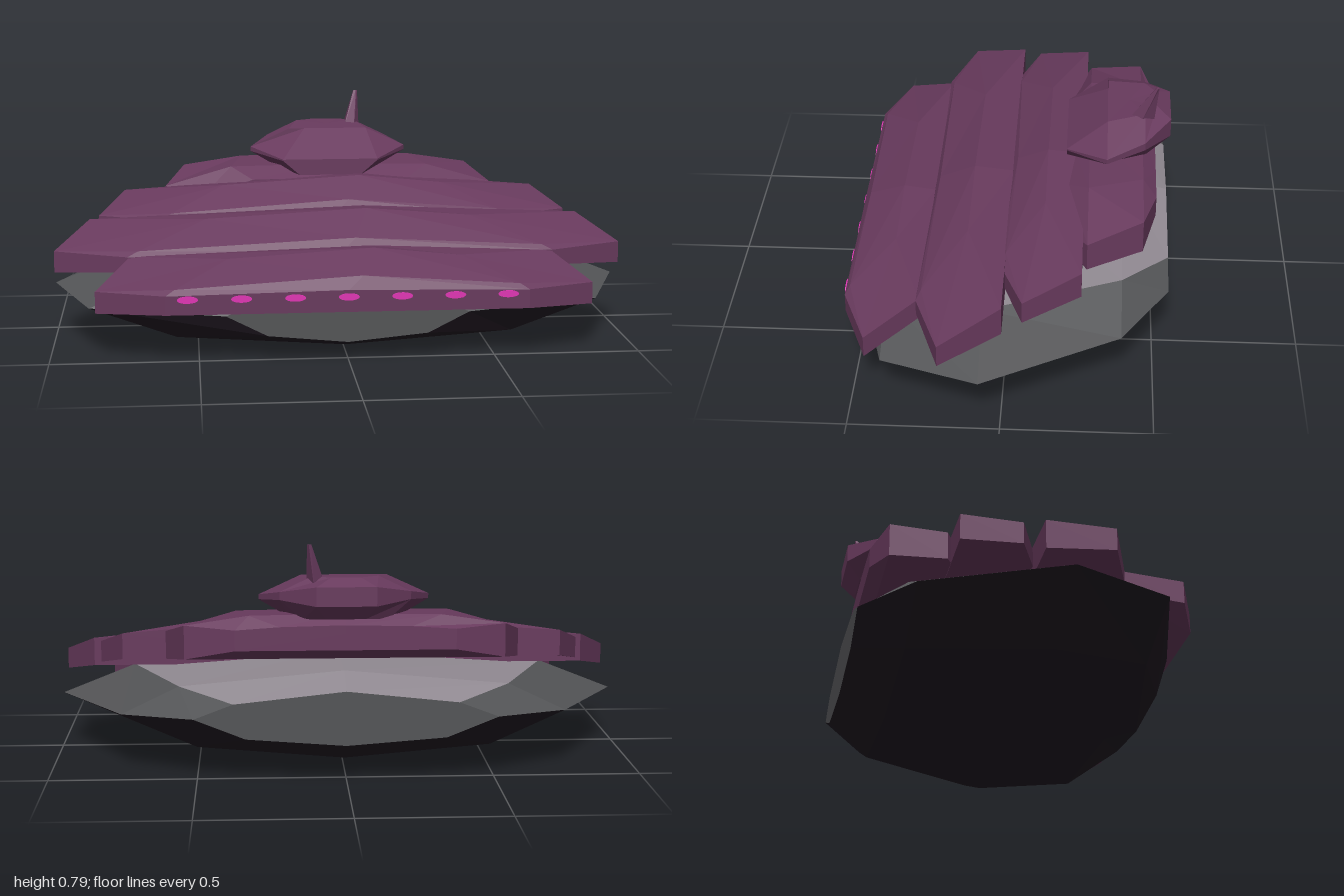
import * as THREE from 'three';

const mat = (name, color, side = THREE.FrontSide) => {
  const m = new THREE.MeshStandardMaterial({ color, flatShading: true, side });
  m.name = name;
  return m;
};
const lerp = THREE.MathUtils.lerp;

// Skins a row of closed rings; cols picks which strips to keep, caps closes the ends.
function loft(rings, { cols = null, caps = [false, false], skin = true } = {}) {
  const pos = [], n = rings[0].length;
  const tri = (...p) => {
    const [a, b, c] = p.map(q => new THREE.Vector3(...q));
    if (b.clone().sub(a).cross(c.clone().sub(a)).length() > 1e-7) p.forEach(q => pos.push(...q));
  };
  if (skin) for (let i = 0; i + 1 < rings.length; i++) for (let j = 0; j < n; j++) {
    if (cols && !cols.includes(j)) continue;
    const k = (j + 1) % n, a = rings[i][j], b = rings[i][k], c = rings[i + 1][k], d = rings[i + 1][j];
    tri(a, b, c);
    tri(a, c, d);
  }
  [rings[0], rings[rings.length - 1]].forEach((r, e) => {
    if (!caps[e]) return;
    const mid = [0, 1, 2].map(k => r.reduce((s, p) => s + p[k], 0) / n);
    for (let j = 0; j < n; j++) {
      const a = r[j], b = r[(j + 1) % n];
      e ? tri(mid, a, b) : tri(mid, b, a);
    }
  });
  const g = new THREE.BufferGeometry();
  g.setAttribute('position', new THREE.Float32BufferAttribute(pos, 3));
  g.computeVertexNormals();
  return g;
}

// Armour slab: corners are [x, z, bottom y, top y]; brow, ridge and crest are centre [z, y].
function armour({ tip, front, rear, brow, ridge, crest, frontTop, apexX = 0.1 }) {
  const end = s => {
    const b = [s * tip[0], tip[2], tip[1]], t = [s * tip[0], tip[3], tip[1]];
    return [b, t, t, t, t, b];
  };
  const shoulder = s => [
    [s * rear[0], rear[2], rear[1]],
    [s * rear[0], rear[3], rear[1]],
    [s * tip[0] * 0.47, ridge[1] - 0.03, ridge[0]],
    [s * front[0] * 0.95, lerp(front[3], brow[1], 0.35), lerp(front[1], brow[0], 0.6)],
    [s * front[0], front[3], front[1]],
    [s * front[0], front[2], front[1]],
  ];
  const centre = [
    [0, rear[2], rear[1]],
    [apexX, crest[1], crest[0]],
    [apexX, ridge[1], ridge[0]],
    [apexX * 0.5, brow[1], brow[0]],
    [0, frontTop, front[1]],
    [0, front[2], front[1]],
  ];
  return loft([end(-1), shoulder(-1), centre, shoulder(1), end(1)]);
}

export function createModel() {
  const model = new THREE.Group();
  model.name = 'hovercraft';
  const plum = mat('plum armour', 0x683a5d);
  const dark = mat('black underside', 0x211922);
  const grey = mat('dark grey hull', 0x535456);
  const light = mat('light grey deck', 0x918a92);
  const pink = mat('pink lights', 0xe035b4);
  const add = (name, geo, material, parent = model) => {
    const m = new THREE.Mesh(geo, material);
    m.name = name;
    parent.add(m);
    return m;
  };

  // Hull sections: z, half width, keel y, edge y, shoulder y, deck y
  const hullRings = [
    [-0.55, 0.51, 0.12, 0.215, 0.265, 0.305],
    [-0.39, 0.76, 0.04, 0.2, 0.295, 0.345],
    [0.07, 1.0, 0, 0.182, 0.285, 0.335],
    [0.4, 0.87, 0.02, 0.165, 0.245, 0.285],
    [0.52, 0.41, 0.06, 0.157, 0.2, 0.22],
  ].map(([z, w, keel, edge, up, top]) => {
    const low = lerp(keel, edge, 0.27);
    return [[0, keel, z], [0.66 * w, low, z], [w, edge, z], [0.74 * w, up, z],
      [0, top, z], [-0.74 * w, up, z], [-w, edge, z], [-0.66 * w, low, z]];
  });
  const hull = new THREE.Group();
  hull.name = 'hull';
  model.add(hull);
  add('underside', loft(hullRings, { cols: [0, 1, 6, 7] }), dark, hull);
  add('hullSides', loft(hullRings, { cols: [2, 5] }), grey, hull);
  add('deck', loft(hullRings, { cols: [3, 4] }), light, hull);
  add('hullEnds', loft(hullRings, { skin: false, caps: [true, true] }), grey, hull);

  // Overlapping armour slabs, stepping up toward the back
  const slabs = {
    frontArmour: {
      tip: [0.845, 0.455, 0.16, 0.235], front: [0.61, 0.545, 0.17, 0.235], rear: [0.73, 0.28, 0.24, 0.315],
      brow: [0.52, 0.288], ridge: [0.39, 0.355], crest: [0.28, 0.34], frontTop: 0.245,
    },
    middleArmour: {
      tip: [0.995, 0.2, 0.247, 0.322], front: [0.74, 0.29, 0.262, 0.315], rear: [0.88, 0.0, 0.295, 0.395],
      brow: [0.265, 0.365], ridge: [0.135, 0.445], crest: [0.0, 0.43], frontTop: 0.32,
    },
    upperArmour: {
      tip: [0.85, -0.065, 0.32, 0.395], front: [0.62, 0.022, 0.335, 0.39], rear: [0.76, -0.255, 0.365, 0.455],
      brow: [-0.015, 0.45], ridge: [-0.125, 0.52], crest: [-0.255, 0.51], frontTop: 0.4,
    },
  };
  for (const [name, spec] of Object.entries(slabs)) add(name, armour(spec), plum);

  // Rear slab with clipped back corners: z, half width, bottom y, side top y, ridge y
  const rearRings = [
    [-0.5, 0.37, 0.435, 0.505, 0.52],
    [-0.455, 0.54, 0.4, 0.515, 0.552],
    [-0.27, 0.61, 0.368, 0.465, 0.54],
    [-0.2, 0.48, 0.37, 0.43, 0.5],
  ].map(([z, w, b, s, t]) => [[-w, b, z], [w, b, z], [w, s, z], [w * 0.6, t - 0.005, z], [0, t, z],
    [-w * 0.6, t - 0.005, z], [-w, s, z]]);
  add('rearArmour', loft(rearRings, { caps: [true, true] }), plum);

  // Eight-sided turret: rim points x, z, y
  const rim = [[0.29, -0.33, 0.598], [0.22, -0.46, 0.625], [0.1, -0.55, 0.635], [-0.1, -0.55, 0.635],
    [-0.22, -0.46, 0.625], [-0.29, -0.33, 0.598], [-0.175, -0.19, 0.568], [0.175, -0.19, 0.568]];
  const turretRings = [
    rim.map(([x, z]) => [x * 0.65, lerp(0.54, 0.512, (z + 0.55) / 0.36), lerp(z, Math.max(z, -0.5), 1)]),
    rim.map(([x, z]) => [x, z < -0.5 ? 0.59 : lerp(0.6, 0.565, (z + 0.46) / 0.27), z]),
    rim.map(([x, z, y]) => [x, y + (z < -0.5 ? 0.02 : 0.002), z]),
    rim.map(([x, z]) => [x * 0.5, z > -0.4 ? 0.667 : 0.68, THREE.MathUtils.clamp(z, -0.5, -0.33)]),
  ];
  add('turret', loft(turretRings, { caps: [true, true] }), plum);

  // Antenna horn swept up and back
  const horn = (x, y, z, rx, rz) => Array.from({ length: 5 }, (_, i) => {
    const a = i * Math.PI * 0.4;
    return [x + rx * Math.cos(a), y, z - rz * Math.sin(a)];
  });
  add('antenna', loft([horn(0.095, 0.645, -0.44, 0.035, 0.052), horn(0.121, 0.79, -0.498, 0.008, 0.006)],
    { caps: [false, true] }), plum);

  // Row of oval front lights
  for (let i = -3; i <= 3; i++) {
    const lamp = add('frontLight', new THREE.CylinderGeometry(1, 1, 1, 16), pink);
    lamp.rotation.x = Math.PI / 2;
    lamp.scale.set(0.035, 0.008, 0.012);
    lamp.position.set(i * 0.179, 0.222, 0.546);
  }
  return model;
}
